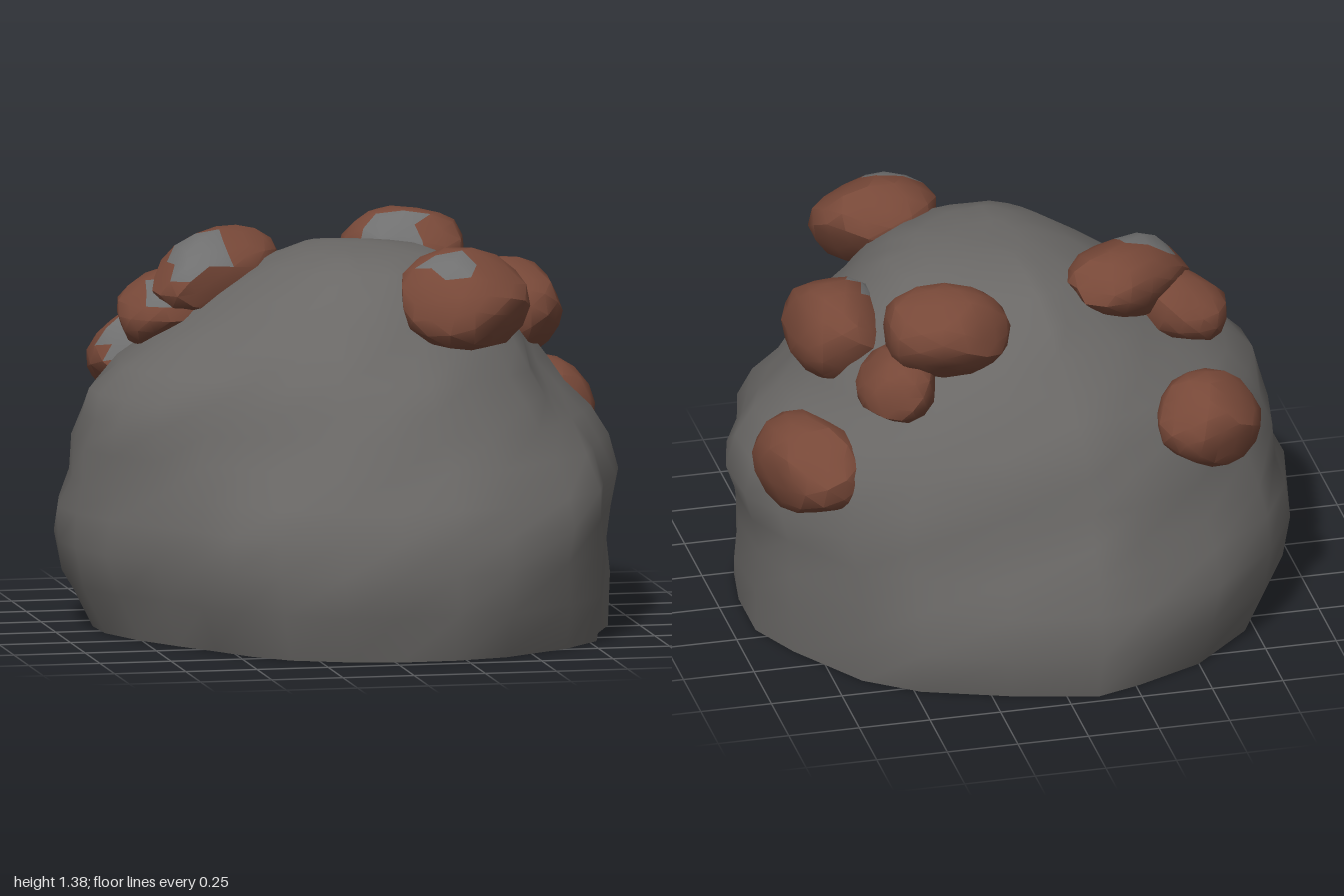
import * as THREE from 'three';
import { toCreasedNormals } from 'three/addons/utils/BufferGeometryUtils.js';

const mat = (name, color) => Object.assign(new THREE.MeshStandardMaterial({ color }), { name });

// Widest outline of the boulder seen from above, as [x, z]
const OUTLINE = [
  [0.96, 0.05], [0.92, 0.24], [0.86, 0.42], [0.81, 0.61], [0.67, 0.78], [0.42, 0.95], [0.22, 0.98], [0.02, 0.99],
  [-0.18, 0.95], [-0.39, 0.86], [-0.53, 0.75], [-0.63, 0.59], [-0.74, 0.43], [-0.87, 0.26], [-0.95, 0.06],
  [-0.97, -0.12], [-0.93, -0.38], [-0.81, -0.62], [-0.57, -0.84], [-0.3, -0.95], [-0.12, -1], [0.2, -0.94],
  [0.5, -0.82], [0.68, -0.68], [0.87, -0.4], [0.95, -0.2],
];
// Extents by height: [y, left edge, right edge, back edge, front edge]
const LEVELS = [
  [0, 0.85, 0.92, 0.96, 0.94], [0.16, 0.93, 0.93, 1, 0.99], [0.3, 0.97, 0.92, 0.97, 1], [0.42, 0.96, 0.94, 0.94, 0.98],
  [0.52, 0.93, 0.96, 0.9, 0.94], [0.64, 0.92, 0.94, 0.87, 0.87], [0.74, 0.89, 0.89, 0.83, 0.82],
  [0.83, 0.86, 0.82, 0.79, 0.77], [0.92, 0.77, 0.74, 0.73, 0.71], [1.01, 0.64, 0.67, 0.66, 0.63],
  [1.1, 0.51, 0.58, 0.58, 0.56], [1.19, 0.37, 0.49, 0.49, 0.48], [1.26, 0.25, 0.4, 0.39, 0.38],
  [1.3, 0.13, 0.3, 0.28, 0.26], [1.315, 0.05, 0.18, 0.15, 0.12],
];
// Hollows and bulges: [x, y, z, radius, depth]
const DENTS = [
  [0.72, 0.86, 0.2, 0.22, 0.06], [0.62, 0.74, 0.55, 0.22, 0.05], [0.82, 0.72, 0.32, 0.2, 0.03],
  [0.76, 0.86, -0.27, 0.17, 0.06], [-0.48, 0.72, 0.62, 0.23, 0.09], [0.05, 0.6, -0.85, 0.25, 0.03],
  [-0.62, 0.7, -0.6, 0.22, 0.02],
];

function boulderGeometry() {
  const n = OUTLINE.length, pos = [], index = [];
  const p = new THREE.Vector3(), c = new THREE.Vector3();
  LEVELS.forEach(([y, l, r, b, f], j) => OUTLINE.forEach(([ox, oz], i) => {
    // The outline rounds off to an ellipse towards the crown
    const u = ox / (ox > 0 ? 0.96 : 0.97), w = oz / (oz > 0 ? 0.99 : 1);
    const round = THREE.MathUtils.lerp(1, 1 / Math.hypot(u, w), 0.6 * THREE.MathUtils.smoothstep(y, 0.35, 0.85));
    p.set(u * (u > 0 ? r : l) * round, y, w * (w > 0 ? f : b) * round);
    let k = 0.007 * Math.sin(i * 2.3 + j * 1.7) + 0.005 * Math.sin(i * 1.1 - j * 2.9);
    for (const [x, dy, z, rad, depth] of DENTS)
      k -= depth * Math.exp(-p.distanceToSquared(c.set(x, dy, z)) / (rad * rad));
    const s = 1 + k / Math.max(0.5, Math.hypot(p.x, p.z));
    pos.push(p.x * s, y, p.z * s);
    if (j) {
      const i2 = (i + 1) % n, a = (j - 1) * n;
      index.push(a + i, a + n + i, a + i2, a + i2, a + n + i, a + n + i2);
    }
  }));
  // Close the crown
  const top = pos.length / 3, last = top - n;
  pos.push(0.08, 1.32, -0.03);
  for (let i = 0; i < n; i++) index.push(last + i, top, last + (i + 1) % n);
  const g = new THREE.BufferGeometry();
  g.setAttribute('position', new THREE.Float32BufferAttribute(pos, 3));
  g.setIndex(index);
  g.computeVertexNormals();
  return g;
}

// Flat underside following the lowest ring
function baseGeometry(body) {
  const n = OUTLINE.length, a = body.attributes.position;
  const pts = Array.from({ length: n }, (_, i) => new THREE.Vector2(a.getX(i), a.getZ(i)));
  return new THREE.ShapeGeometry(new THREE.Shape(pts)).rotateX(Math.PI / 2);
}

// Lumpy ore chunk; faces turned towards `patch` take the second material
function oreGeometry(seed, size, tilt, patch, spread) {
  const g = new THREE.IcosahedronGeometry(1, 2);
  const a = g.attributes.position, p = new THREE.Vector3();
  // A few cutting planes give the chunk its chipped facets
  const cuts = Array.from({ length: 7 }, (_, i) => {
    const y = 1 - (2 * i + 1) / 7, t = i * 2.4 + seed, r = Math.sqrt(1 - y * y);
    return new THREE.Vector3(r * Math.cos(t), y, r * Math.sin(t));
  });
  for (let i = 0; i < a.count; i++) {
    p.fromBufferAttribute(a, i);
    for (const c of cuts) {
      const over = p.dot(c) - 0.83;
      if (over > 0) p.addScaledVector(c, -over * 0.8);
    }
    p.multiplyScalar(1.06);
    a.setXYZ(i, p.x, p.y, p.z);
  }
  g.scale(...size);
  g.applyMatrix4(new THREE.Matrix4().makeRotationFromEuler(new THREE.Euler(...tilt)));

  const out = toCreasedNormals(g, 0.65), q = out.attributes.position;
  const dir = patch && new THREE.Vector3(...patch).normalize(), m = new THREE.Vector3();
  const sides = [[], []];
  for (let i = 0; i < q.count; i += 3) {
    m.set(0, 0, 0);
    for (let k = 0; k < 3; k++) m.add(p.fromBufferAttribute(q, i + k));
    sides[dir && m.normalize().dot(dir) > spread ? 1 : 0].push(i, i + 1, i + 2);
  }
  out.setIndex([...sides[0], ...sides[1]]);
  out.clearGroups();
  out.addGroup(0, sides[0].length, 0);
  out.addGroup(sides[0].length, sides[1].length, 1);
  return out;
}

// Ore chunks: name, centre, half sizes, tilt, direction and tightness of the bare patch
const ORES = [
  ['frontOre', [0.33, 1.185, 0.48], [0.22, 0.15, 0.22], [0.45, 0, 0], [-0.35, 0.85, 0.35], 0.88],
  ['leftUpperOre', [-0.4, 1.21, -0.2], [0.27, 0.13, 0.17], [0, 0.75, 0.2], [-0.45, 0.7, 0.55], 0.74],
  ['leftLowerOre', [-0.57, 1.09, -0.21], [0.18, 0.12, 0.19], [0, 0.2, 0.4], [-0.2, 0.6, 0.75], 0.86],
  ['backLeftOre', [-0.57, 0.86, -0.65], [0.18, 0.16, 0.17], [-0.3, 0.4, 0.2], [-0.35, 0.5, 0.8], 0.82],
  ['backRightUpperOre', [0.32, 1.22, -0.47], [0.22, 0.15, 0.18], [0, -0.25, 0], [-0.4, 0.55, 0.75], 0.78],
  ['backRightLowerOre', [0.48, 1.03, -0.46], [0.14, 0.12, 0.17], [0, 0, -0.4], null, 1],
  ['rightUpperOre', [0.605, 1.07, -0.07], [0.17, 0.17, 0.22], [0, 0.15, 0], [-0.75, 0.5, 0.45], 0.76],
  ['rightLowerOre', [0.76, 0.69, -0.33], [0.17, 0.17, 0.25], [0.05, 0.25, 0.15], null, 1],
];

export function createModel() {
  const rock = mat('rock grey', 0x6a6866);
  const ore = mat('rust brown ore', 0x774838);
  const bare = mat('bare stone grey', 0x707070);
  const model = new THREE.Group();
  model.name = 'oreBoulder';
  const add = (name, geometry, material) => {
    const mesh = new THREE.Mesh(geometry, material);
    mesh.name = name;
    model.add(mesh);
    return mesh;
  };

  const body = boulderGeometry();
  add('boulder', body, rock);
  add('underside', baseGeometry(body), rock);
  ORES.forEach(([name, centre, size, tilt, patch, spread], i) =>
    add(name, oreGeometry(i * 1.3, size, tilt, patch, spread), [ore, bare]).position.set(...centre));
  return model;
}
